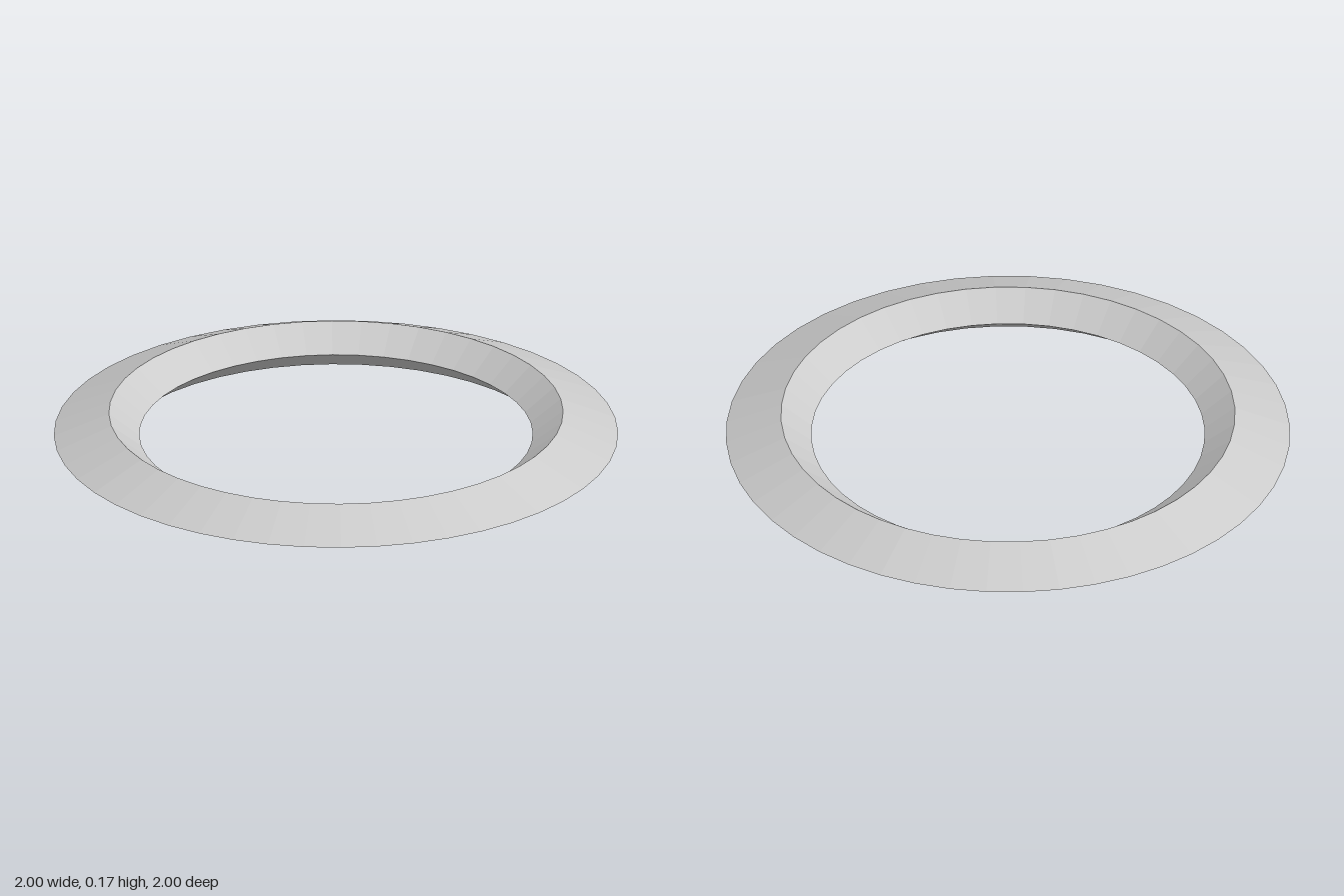
import * as THREE from 'three';

export function createModel() {
  const group = new THREE.Group();
  group.name = 'bevelledRing';

  // Diamond cross-section: bottom ridge, outer rim, top ridge, inner rim
  const profile = [
    [0.805, 0], [1, 0.084], [0.805, 0.168], [0.697, 0.084], [0.805, 0],
  ].map(([r, y]) => new THREE.Vector2(r, y));

  const geometry = new THREE.LatheGeometry(profile, 48).toNonIndexed();
  geometry.computeVertexNormals();

  const ring = new THREE.Mesh(
    geometry,
    new THREE.MeshStandardMaterial({ color: 0xcccccc, flatShading: true }),
  );
  ring.name = 'ring';
  group.add(ring);
  return group;
}
